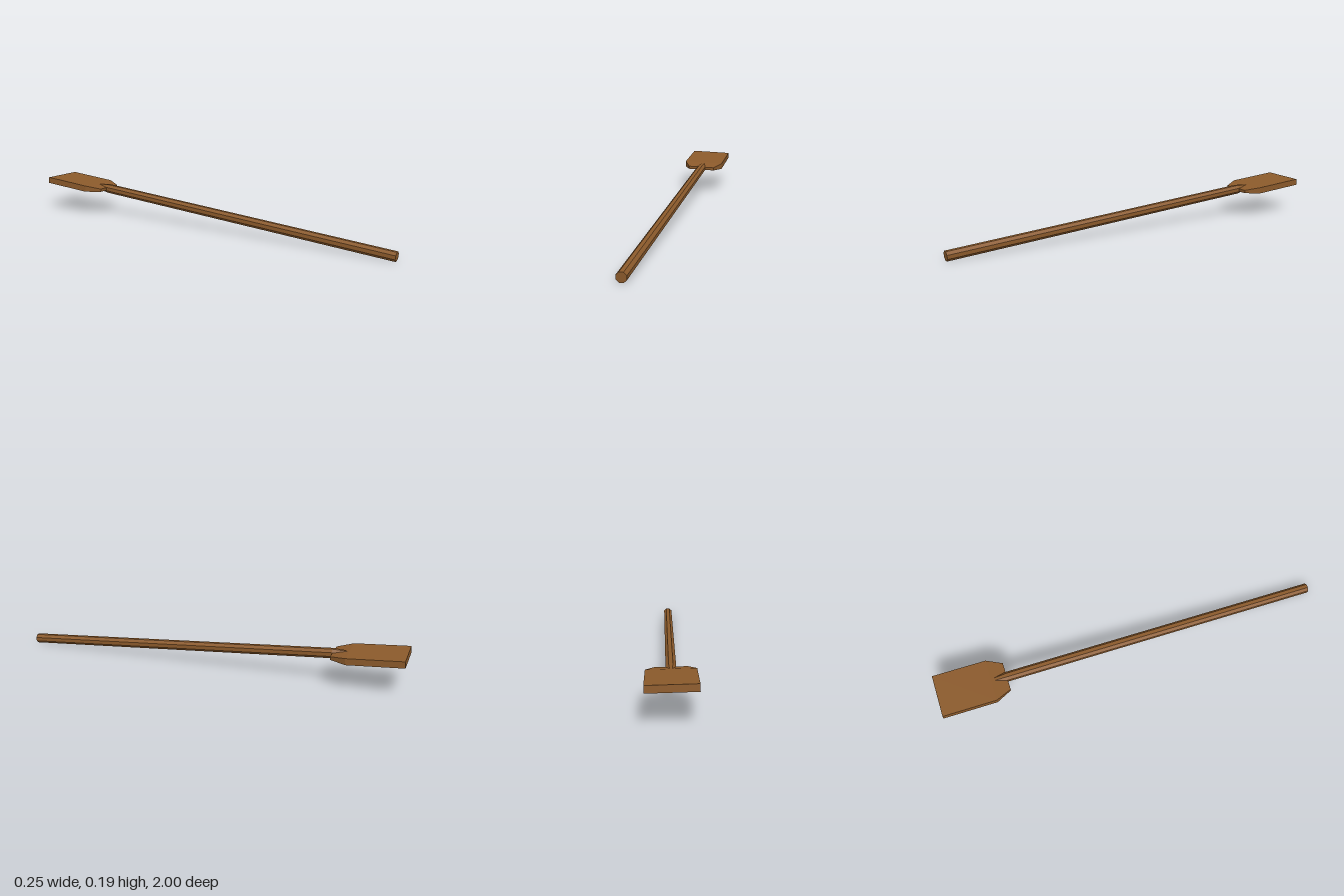
import * as THREE from 'three';

export function createModel() {
  const wood = new THREE.MeshStandardMaterial({ color: 0x8b5a2b });
  wood.name = 'brown wood';
  wood.flatShading = true;

  const model = new THREE.Group();
  model.name = 'paddle';

  // Tilted frame: origin at the blade's far edge, +z along the handle
  const paddle = new THREE.Group();
  paddle.name = 'tiltedPaddle';
  paddle.position.set(-0.014, 0.169, -0.996);
  paddle.rotation.set(0.0723, 0.057, -0.027, 'YXZ');
  model.add(paddle);

  const add = (name, geometry) => {
    const mesh = new THREE.Mesh(geometry, wood);
    mesh.name = name;
    paddle.add(mesh);
  };

  // Octagonal rod lying along z between two stations
  const rod = (z0, z1, r0, r1) =>
    new THREE.CylinderGeometry(r1, r0, z1 - z0, 8, 1, false, Math.PI / 8)
      .rotateX(Math.PI / 2)
      .translate(0, 0, (z0 + z1) / 2);

  // Handle, with a tapered end sunk into the blade
  add('handle', rod(0.35, 2.001, 0.0248, 0.0248));
  add('handleTip', rod(0.265, 0.35, 0.014, 0.0248));

  // Blade: far edge, shoulder and thinned neck as [z, half width, half thickness]
  const stations = [[0, 0.109, 0.016], [0.27, 0.109, 0.016], [0.348, 0.0725, 0.008]];
  const blade = new THREE.BoxGeometry(2, 2, 2, 1, 1, 2);
  const p = blade.attributes.position;
  for (let i = 0; i < p.count; i++) {
    const [z, w, t] = stations[Math.round(p.getZ(i)) + 1];
    p.setXYZ(i, p.getX(i) * w, p.getY(i) * t, z);
  }
  blade.computeVertexNormals();
  add('blade', blade);

  return model;
}
